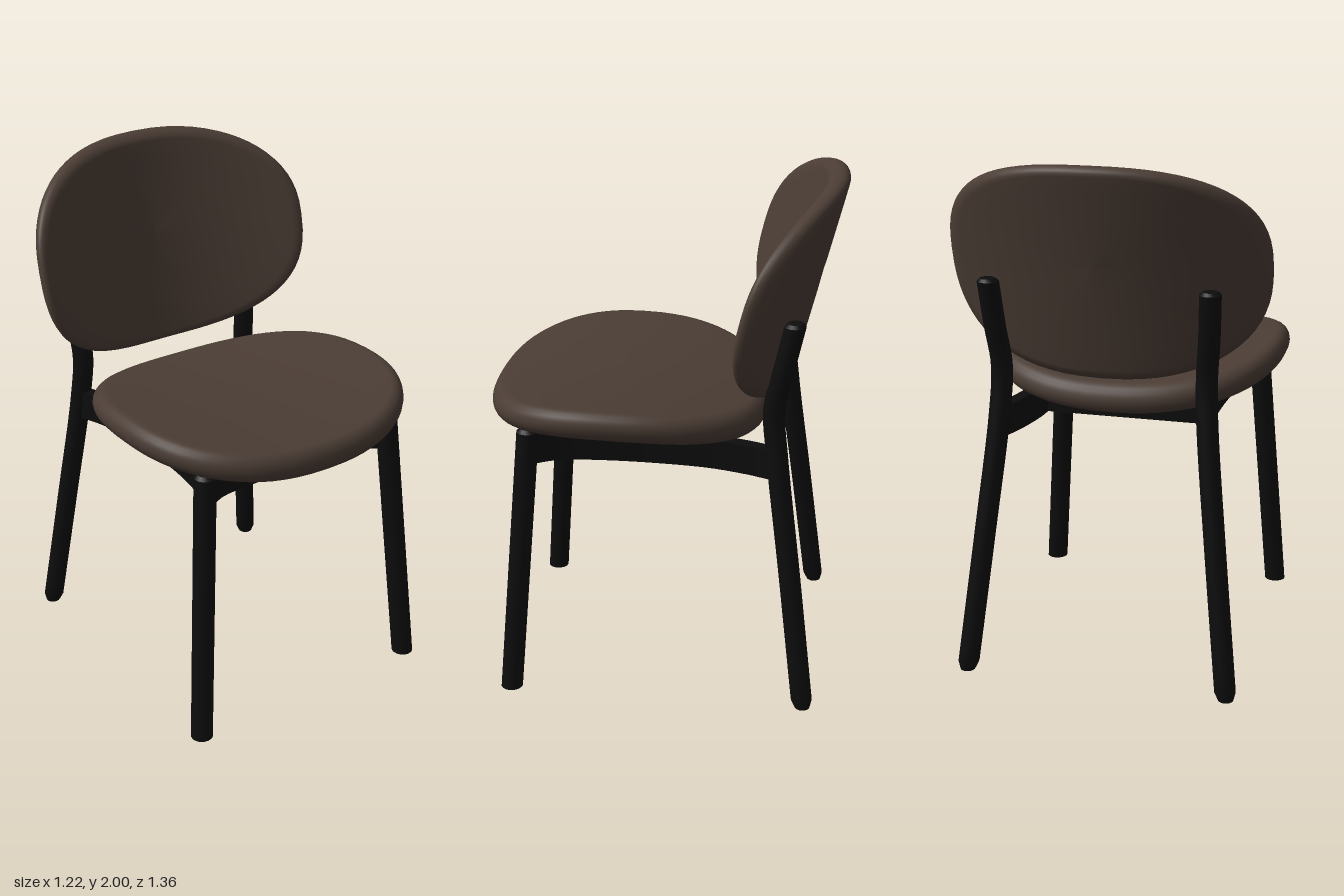
import * as THREE from 'three';
import { toCreasedNormals } from 'three/addons/utils/BufferGeometryUtils.js';

const fabric = new THREE.MeshStandardMaterial({ color: 0x4b3d35 });
const wood = new THREE.MeshStandardMaterial({ color: 0x0d0d0d });

// Soft pad: a superellipse outline swept through a rounded rim, then bent by place(u, v, h)
function pad(halfWidth, up, down, power, place) {
  const rings = [0, 0.2, 0.4, 0.6, 0.78].map((s) => [s, -1]);
  for (let k = 0; k <= 10; k++) {
    const a = -Math.PI / 2 + (k / 10) * Math.PI;
    rings.push([0.91 + 0.09 * Math.cos(a), Math.sin(a)]);
  }
  rings.push(...[0.78, 0.6, 0.4, 0.2, 0].map((s) => [s, 1]));

  const n = 72, pos = [], index = [];
  const pow = (t) => Math.sign(t) * Math.abs(t) ** (2 / power);
  rings.forEach(([s, h], i) => {
    for (let j = 0; j < n; j++) {
      const t = (j / n) * Math.PI * 2;
      const v = pow(Math.sin(t));
      pos.push(...place(s * halfWidth * pow(Math.cos(t)), s * v * (v > 0 ? up : down), h));
      if (i === rings.length - 1) continue;
      const a = i * n + j, b = i * n + ((j + 1) % n);
      index.push(a, b, b + n, a, b + n, a + n);
    }
  });
  const geo = new THREE.BufferGeometry();
  geo.setAttribute('position', new THREE.Float32BufferAttribute(pos, 3));
  geo.setIndex(index);
  geo.computeVertexNormals();
  return geo;
}

// Round bar with softened ends whose centre line follows the given points upwards
function bar(points, r) {
  const path = new THREE.CatmullRomCurve3(points.map((p) => new THREE.Vector3(...p)), false, 'centripetal');
  const n = 24, e = 0.012;
  const profile = [[0, 0], [r - e, 0], [r, e]];
  for (let i = 1; i < n; i++) profile.push([r, i / n]);
  profile.push([r, 1 - e], [r - e, 1], [0, 1]);
  const geo = new THREE.LatheGeometry(profile.map(([x, y]) => new THREE.Vector2(x, y)), 16);
  const p = geo.attributes.position;
  for (let i = 0; i < p.count; i++) {
    const c = path.getPoint(THREE.MathUtils.clamp(p.getY(i), 0, 1));
    p.setXYZ(i, p.getX(i) + c.x, c.y, p.getZ(i) + c.z);
  }
  return toCreasedNormals(geo, 0.6);
}

// Upright rail following a curve in plan, points are [x, z]
function rail(points, width, y0, y1) {
  const curve = new THREE.SplineCurve(points.map(([x, z]) => new THREE.Vector2(x, -z)));
  const left = [], right = [];
  for (let i = 0; i <= 24; i++) {
    const p = curve.getPoint(i / 24), t = curve.getTangent(i / 24);
    const nrm = new THREE.Vector2(-t.y, t.x).multiplyScalar(width / 2);
    left.push(p.clone().add(nrm));
    right.unshift(p.clone().sub(nrm));
  }
  const geo = new THREE.ExtrudeGeometry(new THREE.Shape([...left, ...right]), { depth: y1 - y0, bevelEnabled: false });
  geo.rotateX(-Math.PI / 2).translate(0, y0, 0);
  // slight fall towards the back
  const p = geo.attributes.position;
  for (let i = 0; i < p.count; i++) p.setY(i, p.getY(i) + 0.025 * p.getZ(i));
  return toCreasedNormals(geo, 0.6);
}

export function createModel() {
  const group = new THREE.Group();
  const add = (name, geo, mat) => {
    const mesh = new THREE.Mesh(geo, mat);
    mesh.name = name;
    group.add(mesh);
  };

  // Saddle-shaped seat: sides rise, front and back fall
  add('seat', pad(0.585, 0.57, 0.51, 2.4, (u, v, h) => {
    const z = 0.17 - v;
    return [u, 1.13 + 0.12 * u * u - 0.14 * (z - 0.25) ** 2 + 0.057 * h, z];
  }), fabric);

  // Leaning backrest whose sides wrap forward
  add('backrest', pad(0.61, 0.38, 0.44, 2.5, (u, v, h) => {
    const y = 1.62 + v;
    return [u, y, -0.685 + 0.25 * (2 - y) + 0.55 * u * u + 0.042 * (1 + h)];
  }), fabric);

  for (const [side, s] of [['left', 1], ['right', -1]]) {
    add(`${side}FrontLeg`, bar([[s * 0.5, 0, 0.565], [s * 0.42, 1.09, 0.48]], 0.043), wood);
    // Back leg bends at seat height and carries the backrest
    add(`${side}BackLeg`, bar([
      [s * 0.512, 0, -0.587], [s * 0.45, 0.55, -0.517], [s * 0.4, 1.02, -0.455],
      [s * 0.392, 1.2, -0.44], [s * 0.405, 1.36, -0.47], [s * 0.415, 1.55, -0.51],
    ], 0.041), wood);
    // Side rail bows inward between the legs
    add(`${side}SideRail`, rail([
      [s * 0.425, 0.48], [s * 0.36, 0.36], [s * 0.33, 0.12], [s * 0.33, -0.16], [s * 0.36, -0.33], [s * 0.4, -0.45],
    ], 0.05, 0.938, 1.055), wood);
  }

  add('frontRail', rail([[-0.42, 0.48], [-0.3, 0.42], [0, 0.41], [0.3, 0.42], [0.42, 0.48]], 0.05, 0.935, 1.06), wood);
  add('backRail', rail([[-0.33, -0.13], [0, -0.13], [0.33, -0.13]], 0.05, 0.938, 1.055), wood);

  return group;
}
